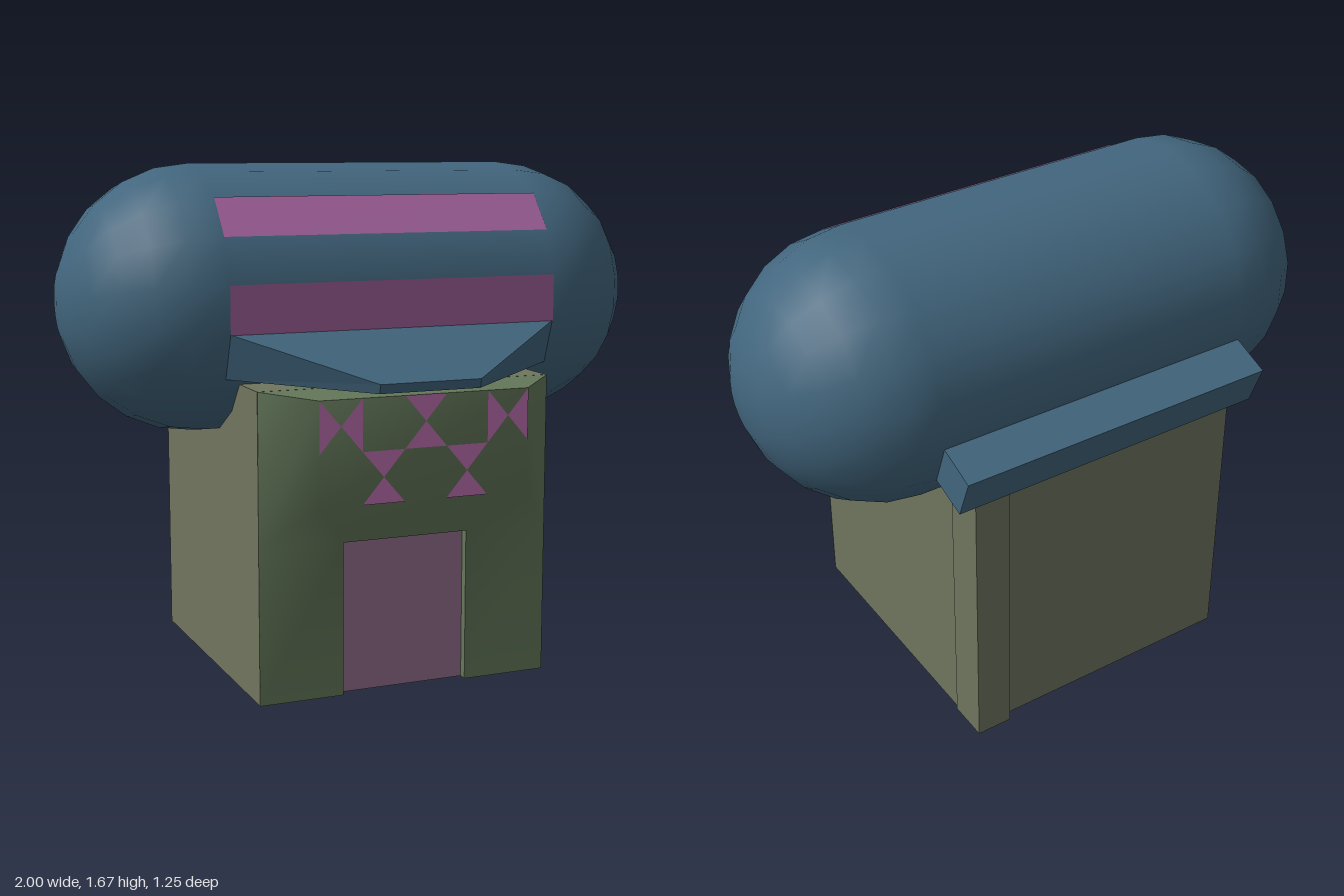
import * as THREE from 'three';

const mat = (color, flatShading = false) =>
  new THREE.MeshStandardMaterial({ color, flatShading, side: THREE.DoubleSide });
const BLUE = 0x42667e, GREEN = 0x64785a, OLIVE = 0x70755f, PINK = 0xa0609a;

function add(parent, name, geometry, material) {
  const mesh = new THREE.Mesh(geometry, material);
  mesh.name = name;
  parent.add(mesh);
  return mesh;
}

// Box given by its limits
function block(parent, name, [x0, x1], [y0, y1], [z0, z1], color) {
  const mesh = add(parent, name, new THREE.BoxGeometry(x1 - x0, y1 - y0, z1 - z0), mat(color));
  mesh.position.set((x0 + x1) / 2, (y0 + y1) / 2, (z0 + z1) / 2);
  return mesh;
}

// Surface from corner points and convex faces, each split as a fan
function surface(points, faces) {
  const index = [];
  for (const f of faces)
    for (let i = 1; i < f.length - 1; i++) index.push(f[0], f[i], f[i + 1]);
  const g = new THREE.BufferGeometry();
  g.setAttribute('position', new THREE.Float32BufferAttribute(points.flat(), 3));
  g.setIndex(index);
  g.computeVertexNormals();
  return g;
}

// Slab reaching outward (+z); each edge is [half width, y, z]
function slab(innerTop, outerTop, innerBottom, outerBottom) {
  const points = [];
  for (const [a, b] of [[innerTop, outerTop], [innerBottom, outerBottom]])
    points.push([-a[0], a[1], a[2]], [...a], [...b], [-b[0], b[1], b[2]]);
  return surface(points, [[3, 2, 1, 0], [4, 5, 6, 7], [7, 6, 2, 3], [6, 5, 1, 2], [4, 7, 3, 0], [0, 1, 5, 4]]);
}

export function createModel() {
  const model = new THREE.Group();
  model.name = 'building';

  // Capsule roof with its window strips, awning and rear ledge
  const roof = new THREE.Group();
  roof.name = 'roof';
  roof.position.set(0, 1.235, -0.065);
  model.add(roof);
  const R = 0.44, half = 0.56;
  add(roof, 'roofCapsule', new THREE.CapsuleGeometry(R, 2 * half, 6, 18).rotateZ(Math.PI / 2), mat(BLUE));
  for (const start of [40, 80]) {
    const [a, b] = [start, start + 20].map((deg) => {
      const t = THREE.MathUtils.degToRad(deg), r = R + 0.003;
      return [r * Math.cos(t), r * Math.sin(t)];
    });
    add(roof, 'windowStrip', surface(
      [[-half, ...b], [half, ...b], [half, ...a], [-half, ...a]], [[0, 1, 2, 3]]), mat(PINK));
  }
  const inner = [half, -0.075, 0.433], innerLow = [half, -0.22, 0.381];
  add(roof, 'awning', slab(inner, [0.17, -0.215, 0.69], innerLow, [0.17, -0.245, 0.682]), mat(BLUE, true));
  add(roof, 'rearLedge', slab(inner, [half, -0.125, 0.565], innerLow, [half, -0.265, 0.512]), mat(BLUE, true))
    .rotation.y = Math.PI;

  // Hollow body, open underneath
  const L = -0.51, Rt = 0.485, iL = -0.38, iR = 0.36;
  block(model, 'rightWall', [L, iL], [0, 0.995], [-0.53, 0.467], OLIVE);
  block(model, 'leftWall', [iR, Rt], [0, 0.995], [-0.53, 0.467], OLIVE);
  block(model, 'backWall', [iL, iR], [0, 0.995], [-0.53, -0.41], OLIVE);
  block(model, 'cornerPillar', [0.37, 0.493], [0, 0.99], [-0.56, -0.42], OLIVE);
  block(model, 'ceiling', [iL, iR], [0.96, 0.995], [-0.41, 0.345], OLIVE);

  // Front wall with the doorway
  const d0 = -0.23, d1 = 0.2;
  block(model, 'frontWall', [iL, d0], [0, 0.5], [0.345, 0.467], GREEN);
  block(model, 'frontWall', [d1, iR], [0, 0.5], [0.345, 0.467], GREEN);
  block(model, 'lintel', [iL, iR], [0.5, 0.995], [0.345, 0.467], GREEN);
  block(model, 'door', [d0, d1], [0, 0.5], [0.43, 0.44], 0x93708b);

  // Smooth facing that swells into a bay above the doorway
  const z0 = 0.47, z1 = 0.612, b0 = -0.365, b1 = 0.34;
  const xs = [L, d0, d1, Rt];
  const points = [
    ...xs.map((x) => [x, 0, z0]), ...xs.map((x) => [x, 0.5, z0]),
    [b0, 0.65, z1], [b1, 0.65, z1], [b1, 0.98, z1], [b0, 0.98, z1],
    [L, 0.995, z0], [Rt, 0.995, z0],
  ];
  add(model, 'frontFacing', surface(points, [
    [0, 1, 5, 4], [2, 3, 7, 6], [4, 5, 8], [5, 6, 9, 8], [6, 7, 9],
    [8, 9, 10, 11], [4, 8, 11, 12], [7, 13, 10, 9],
  ]), mat(GREEN));
  add(model, 'bayTop', surface([points[11], points[10], points[13], points[12]], [[0, 1, 2, 3]]), mat(GREEN));

  // Triangle pattern on the bay: bow ties and hourglasses
  const w = (b1 - b0) / 5, h = 0.165;
  for (let col = 0; col < 5; col++) {
    const x = b0 + w * (col + 0.5), y = col % 2 ? 0.65 + h / 2 : 0.98 - h / 2;
    const sideways = col === 0 || col === 4;
    const corners = [[-1, -1], [1, -1], [1, 1], [-1, 1], [0, 0]]
      .map(([u, v]) => [x + u * w / 2, y + v * h / 2, z1 + 0.003]);
    add(model, sideways ? 'bowTie' : 'hourglass',
      surface(corners, sideways ? [[0, 4, 3], [1, 2, 4]] : [[0, 1, 4], [2, 3, 4]]), mat(0xc070b4));
  }
  return model;
}
